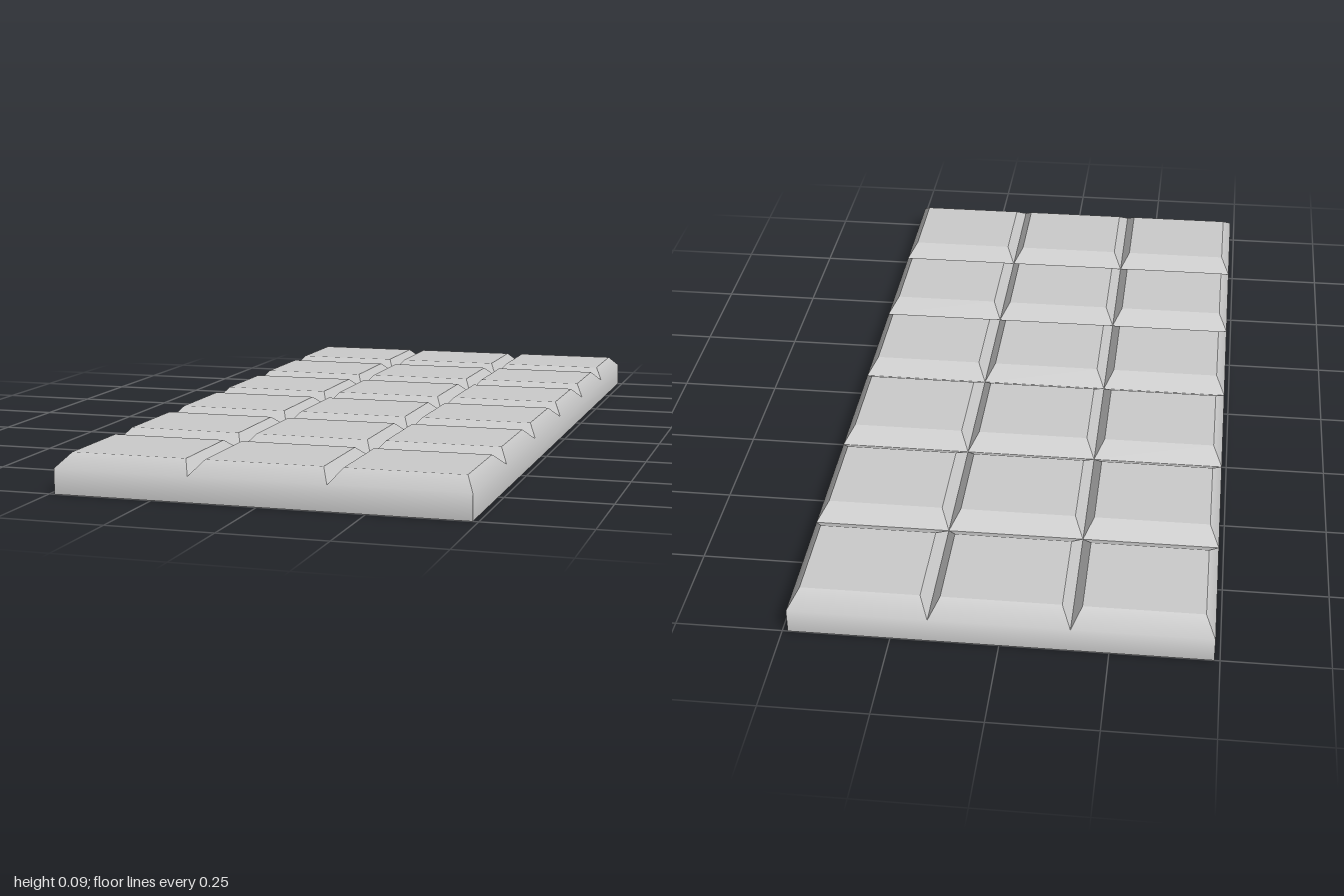
import * as THREE from 'three';

const W = 0.974, L = 2, BASE = 0.06, TOP = 0.09;   // overall size and heights
const COLS = 3, ROWS = 6, BEVEL_X = 0.023, BEVEL_Z = 0.05;

// Box without one of its faces (order: +x, -x, +y, -y, +z, -z)
function openBox(w, h, d, omit) {
  const g = new THREE.BoxGeometry(w, h, d);
  g.setIndex(Array.from(g.index.array).filter((_, i) => Math.floor(i / 6) !== omit));
  return g.toNonIndexed();
}

// Flat normals, but softened along the outer rim where side meets bevel
function softenRim(g, ox = 0, oz = 0) {
  g.computeVertexNormals();
  const p = g.attributes.position, n = g.attributes.normal;
  const tiltX = Math.atan2(BEVEL_X, TOP - BASE) / 2;
  const tiltZ = Math.atan2(BEVEL_Z, TOP - BASE) / 2;
  for (let i = 0; i < p.count; i++) {
    const x = p.getX(i) + ox, z = p.getZ(i) + oz;
    if (Math.abs(p.getY(i) - BASE) > 1e-4) continue;
    if (Math.abs(x) > W / 2 - 1e-4 && n.getX(i) * x > 0.1)
      n.setXYZ(i, Math.sign(x) * Math.cos(tiltX), Math.sin(tiltX), 0);
    else if (Math.abs(z) > L / 2 - 1e-4 && n.getZ(i) * z > 0.3)
      n.setXYZ(i, 0, Math.sin(tiltZ), Math.sign(z) * Math.cos(tiltZ));
  }
  return g;
}

// Bevelled block, open underneath, with its foot at the height of the slab
function blockGeometry(w, d) {
  const g = openBox(w, TOP - BASE, d, 3);
  const p = g.attributes.position;
  for (let i = 0; i < p.count; i++) {
    if (p.getY(i) < 0) continue;
    p.setX(i, p.getX(i) - Math.sign(p.getX(i)) * BEVEL_X);
    p.setZ(i, p.getZ(i) - Math.sign(p.getZ(i)) * BEVEL_Z);
  }
  return g.translate(0, (TOP + BASE) / 2, 0);
}

export function createModel() {
  const group = new THREE.Group();
  group.name = 'segmentedBar';
  const material = new THREE.MeshStandardMaterial({ color: 0xcccccc });

  // Solid slab under the blocks
  const slab = new THREE.Mesh(
    softenRim(openBox(W, BASE, L, 2).translate(0, BASE / 2, 0)), material);
  slab.name = 'slab';
  group.add(slab);

  // Grid of blocks separated by V grooves
  const w = W / COLS, d = L / ROWS;
  for (let r = 0; r < ROWS; r++) {
    for (let c = 0; c < COLS; c++) {
      const x = (c + 0.5) * w - W / 2, z = (r + 0.5) * d - L / 2;
      const block = new THREE.Mesh(softenRim(blockGeometry(w, d), x, z), material);
      block.name = `block_${r + 1}_${c + 1}`;
      block.position.set(x, 0, z);
      group.add(block);
    }
  }
  return group;
}
